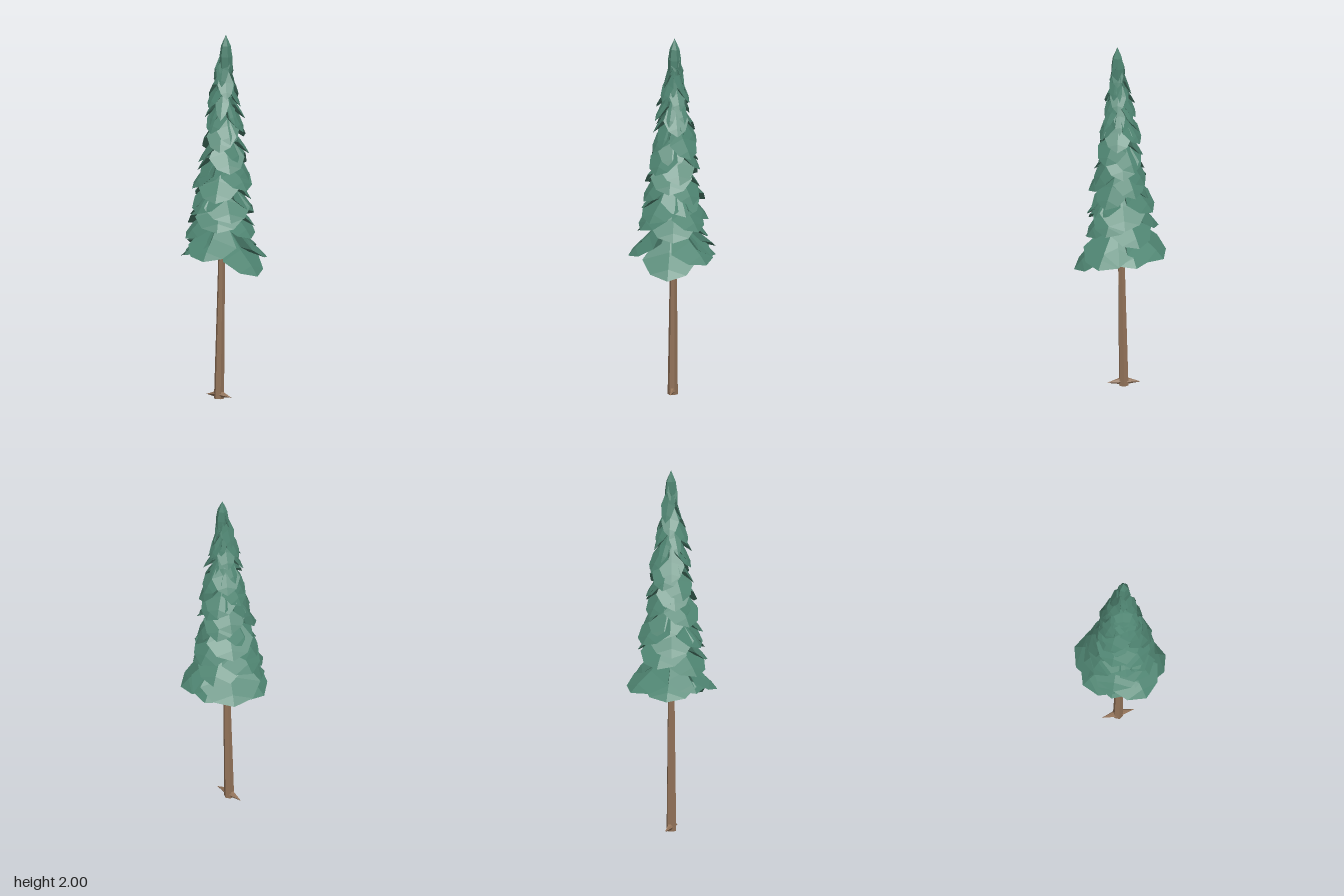
import * as THREE from 'three';

const bark = new THREE.MeshStandardMaterial({ color: 0x94745a, flatShading: true });
const needles = new THREE.MeshStandardMaterial({ color: 0x4f8572, flatShading: true, side: THREE.DoubleSide });

// The trunk leans gently towards +x and -z as it rises
const axisX = (y) => -0.025 + 0.018 * y;
const axisZ = (y) => -0.008 * y;

// Small repeatable variation in the range -1..1
let seed = 7;
const vary = () => {
  seed = (seed * 16807) % 2147483647;
  return (seed / 2147483647) * 2 - 1;
};

// Drooping branch: a ridged leaf on top, closed underneath by a fan that rises to the trunk.
// Each row is [distance out, half width, share of the drop]
const rows = [[0.14, 0.16, 0], [0.52, 0.6, 0.47], [0.83, 0.4, 0.78], [1, 0, 1]];
function branchGeometry(reach, rootY, tipY, widthScale) {
  const pos = [];
  const index = [];
  rows.forEach(([out, half, drop], i) => {
    const w = half * reach * widthScale;
    const y = rootY + (tipY - rootY) * drop;
    const sag = w * 0.3;
    pos.push(out * reach, y - sag, -w, out * reach, y, 0, out * reach, y - sag, w);
    if (i === 0) return;
    const a = (i - 1) * 3;
    const b = i * 3;
    for (let k = 0; k < 2; k++) {
      index.push(a + k, a + k + 1, b + k + 1);
      if (i < rows.length - 1) index.push(a + k, b + k + 1, b + k);
    }
  });
  // Underside
  pos.push(0.05 * reach, tipY + (rootY - tipY) * 0.42, 0);
  const under = rows.length * 3;
  const rim = [0, 3, 6, 10, 8, 5, 2];
  for (let i = 0; i < rim.length - 1; i++) index.push(under, rim[i], rim[i + 1]);
  const g = new THREE.BufferGeometry();
  g.setAttribute('position', new THREE.Float32BufferAttribute(pos, 3));
  g.setIndex(index);
  g.computeVertexNormals();
  return g;
}

function addBranch(parent, degrees, reach, rootY, tipY, widthScale, x, z) {
  const mesh = new THREE.Mesh(branchGeometry(reach, rootY, tipY, widthScale), needles);
  mesh.name = 'branch';
  mesh.position.set(x, 0, z);
  mesh.rotation.y = -THREE.MathUtils.degToRad(degrees);
  parent.add(mesh);
}

export function createModel() {
  const tree = new THREE.Group();
  tree.name = 'coniferTree';

  // Trunk: tapered six-sided column, sheared to follow the lean
  const trunkGeometry = new THREE.CylinderGeometry(0.006, 0.028, 1.85, 6, 4);
  trunkGeometry.translate(0, 0.925, 0);
  const p = trunkGeometry.attributes.position;
  for (let i = 0; i < p.count; i++) {
    const y = p.getY(i);
    p.setX(i, p.getX(i) + axisX(y));
    p.setZ(i, p.getZ(i) + axisZ(y));
  }
  const trunk = new THREE.Mesh(trunkGeometry, bark);
  trunk.name = 'trunk';
  tree.add(trunk);

  // Two roots spreading sideways at the foot
  for (const side of [-1, 1]) {
    const root = new THREE.Mesh(new THREE.ConeGeometry(0.022, 0.09, 6), bark);
    root.name = 'root';
    root.position.set(-0.025 + side * 0.047, 0.02, 0);
    root.rotation.z = -side * (Math.PI / 2 + 0.12);
    tree.add(root);
  }

  // Lowest skirt, spread unevenly: [angle, reach, tip height, rise]
  const skirt = new THREE.Group();
  skirt.name = 'lowestTier';
  const skirtBranches = [
    [-3, 0.247, 0.7, 0.25], [73, 0.24, 0.79, 0.21], [122, 0.215, 0.8, 0.2], [167, 0.245, 0.77, 0.2],
    [215, 0.275, 0.8, 0.2], [253, 0.24, 0.78, 0.2], [303, 0.25, 0.77, 0.21],
  ];
  for (const [angle, reach, tipY, rise] of skirtBranches) {
    addBranch(skirt, angle, reach, tipY + rise, tipY, 1, 0, 0);
  }
  tree.add(skirt);

  // Upper tiers: [tip height, reach, root height, branch count, width scale]
  const tiers = [
    [0.91, 0.2, 1.12, 6, 1.1], [1.02, 0.18, 1.23, 6, 1.1], [1.13, 0.16, 1.34, 6, 1.1],
    [1.23, 0.145, 1.44, 6, 1.1], [1.33, 0.132, 1.53, 6, 1.1], [1.44, 0.12, 1.63, 6, 1],
    [1.53, 0.105, 1.71, 8, 0.55], [1.62, 0.096, 1.79, 6, 0.85], [1.68, 0.064, 1.88, 6, 1],
    [1.79, 0.043, 1.94, 5, 1.2],
  ];
  tiers.forEach(([tipY, reach, rootY, count, width], t) => {
    const tier = new THREE.Group();
    tier.name = 'branchTier';
    for (let i = 0; i < count; i++) {
      const angle = (i / count) * 360 + t * 31 + vary() * 8;
      const lift = (i % 2 ? 0.025 : -0.025) + vary() * 0.015;
      const length = reach * (1 + vary() * 0.1);
      addBranch(tier, angle, length, rootY + lift, tipY + lift, width, axisX(tipY), axisZ(tipY));
    }
    tree.add(tier);
  });

  // Pointed crown
  const crown = new THREE.Mesh(new THREE.LatheGeometry(
    [[0.036, 1.8], [0.036, 1.88], [0.027, 1.94], [0, 2]].map(([r, y]) => new THREE.Vector2(r, y)), 6), needles);
  crown.name = 'crown';
  crown.position.set(axisX(2), 0, axisZ(2));
  tree.add(crown);

  return tree;
}
